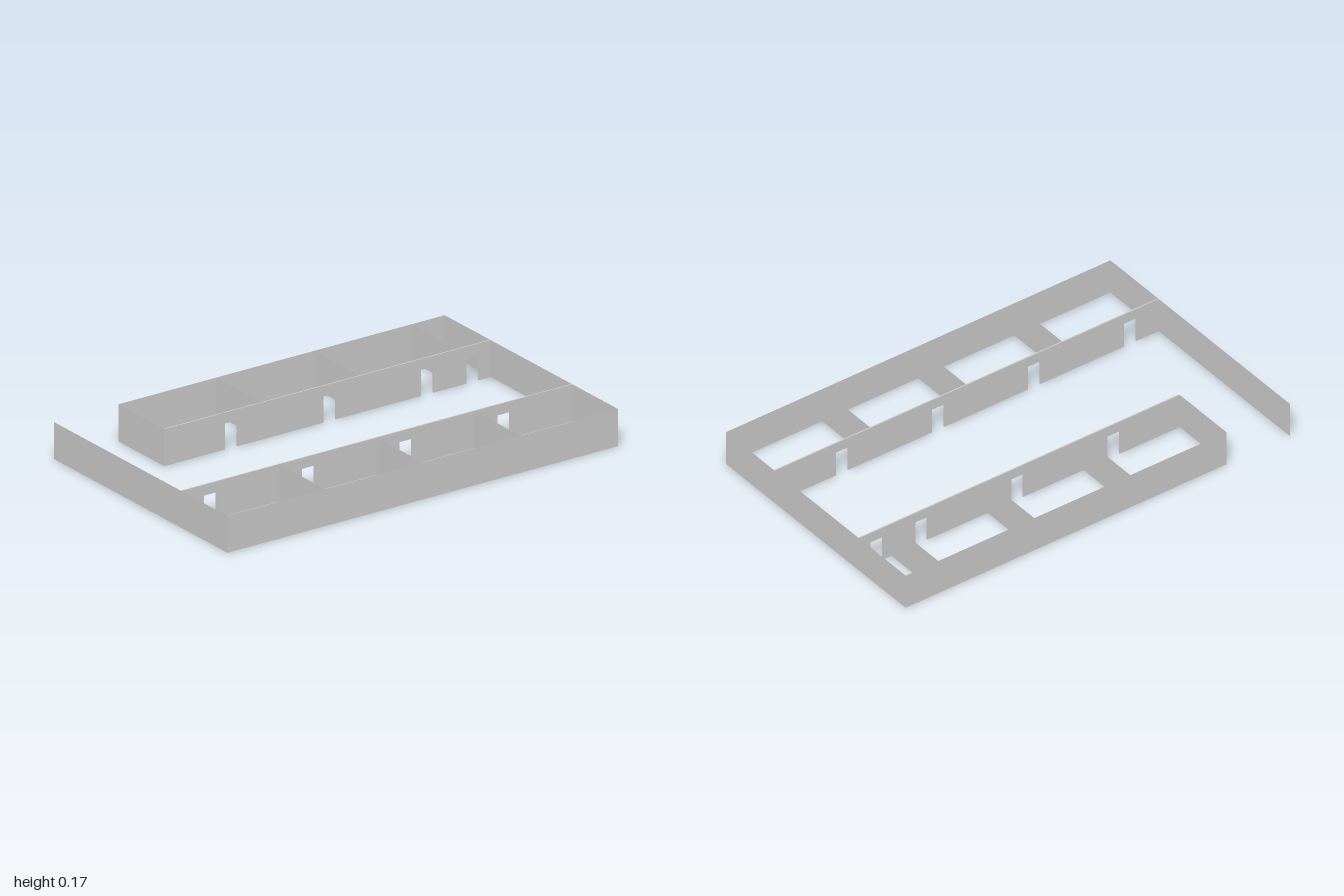
import * as THREE from 'three';

const H = 0.167;            // wall height
const T = 0.006;            // corridor wall thickness
const DOOR_W = 0.063, DOOR_H = 0.118;
const Z_OUT = 0.625, Z_FRONT = 0.291, Z_BACK = -0.297;
const X_END = -0.67;        // open end of the back row

export function createModel() {
  const group = new THREE.Group();
  const material = new THREE.MeshStandardMaterial({
    color: 0xcccccc, flatShading: true, side: THREE.DoubleSide,
  });

  function add(name, geometry) {
    const mesh = new THREE.Mesh(geometry, material);
    mesh.name = name;
    group.add(mesh);
    return mesh;
  }

  // Thin upright sheet between two floor points
  function sheet(name, x0, z0, x1, z1) {
    const mesh = add(name, new THREE.PlaneGeometry(Math.hypot(x1 - x0, z1 - z0), H));
    mesh.position.set((x0 + x1) / 2, H / 2, (z0 + z1) / 2);
    mesh.rotation.y = -Math.atan2(z1 - z0, x1 - x0);
  }

  // Corridor wall along x, with doorways open down to the floor
  function doorWall(name, x0, x1, z, doors) {
    const shape = new THREE.Shape();
    shape.moveTo(x0, 0);
    for (const d of doors) {
      shape.lineTo(d, 0);
      shape.lineTo(d, DOOR_H);
      shape.lineTo(d + DOOR_W, DOOR_H);
      shape.lineTo(d + DOOR_W, 0);
    }
    shape.lineTo(x1, 0);
    shape.lineTo(x1, H);
    shape.lineTo(x0, H);
    const mesh = add(name, new THREE.ExtrudeGeometry(shape, { depth: T, bevelEnabled: false }));
    mesh.position.z = z - T / 2;
  }

  // Outer walls; the back one stops short and leaves an entrance
  sheet('frontOuterWall', -1, Z_OUT, 1, Z_OUT);
  sheet('backOuterWall', X_END, -Z_OUT, 1, -Z_OUT);
  sheet('leftOuterWall', 1, Z_OUT, 1, -Z_OUT);
  sheet('rightOuterWall', -1, Z_OUT, -1, -Z_OUT);

  // Corridor walls, one door per room
  doorWall('frontCorridorWall', -1, 1, Z_FRONT, [-0.883, -0.383, 0.117, 0.617]);
  doorWall('backCorridorWall', X_END, 1, Z_BACK, [-0.358, 0.144, 0.644, 0.876]);

  // Partitions between the rooms
  for (const x of [-0.5, 0, 0.5]) sheet('frontPartition', x, Z_FRONT, x, Z_OUT);
  for (const x of [X_END, -0.17, 0.33, 0.83]) {
    sheet(x === X_END ? 'backEndWall' : 'backPartition', x, -Z_OUT, x, Z_BACK);
  }

  return group;
}
